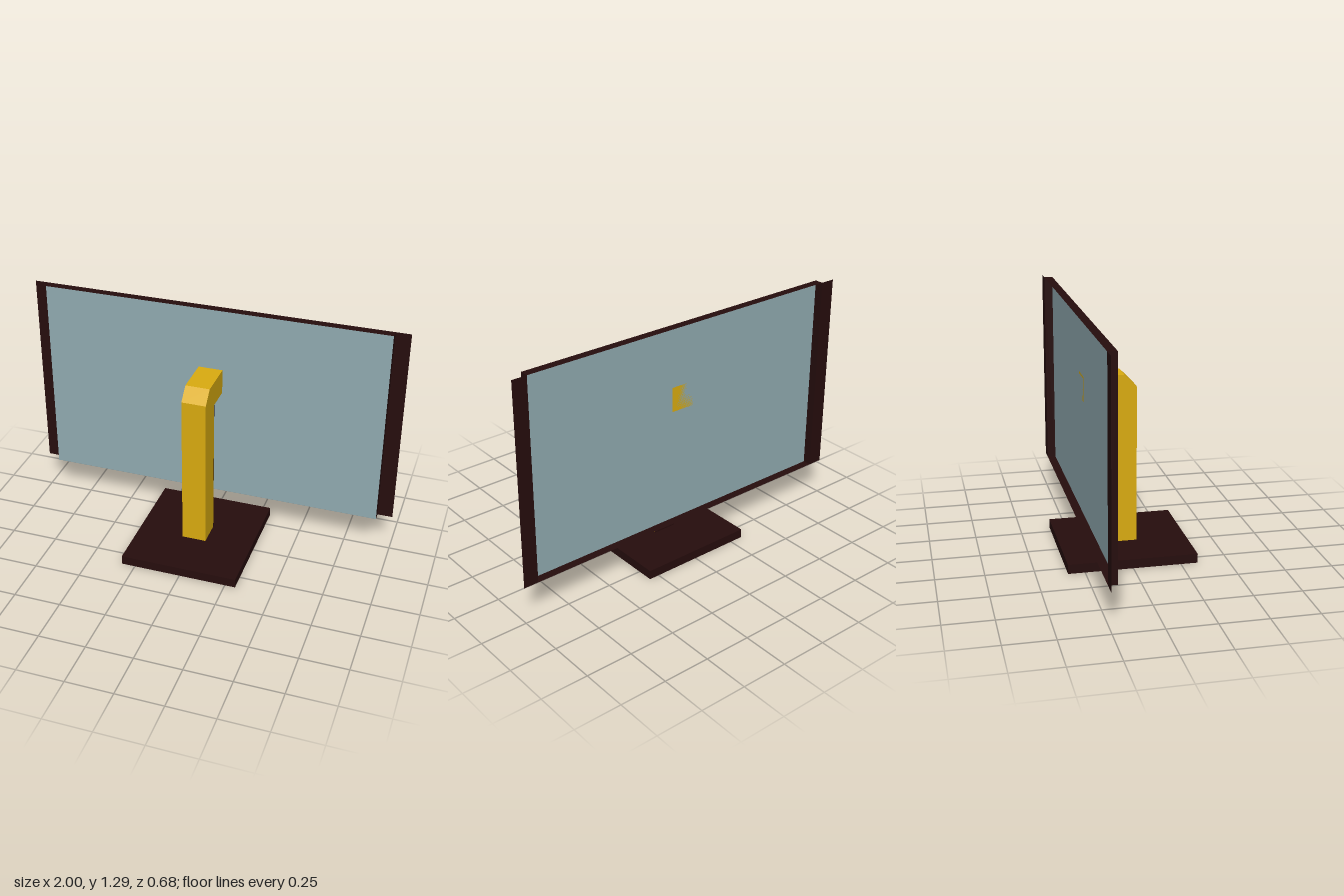
import * as THREE from 'three';

const mat = (name, color, side = THREE.FrontSide) => {
  const m = new THREE.MeshStandardMaterial({ color, side });
  m.name = name;
  return m;
};

export function createModel() {
  const model = new THREE.Group();
  model.name = 'monitor';
  const dark = mat('dark brown', 0x260d0d, THREE.DoubleSide);
  const glass = mat('grey blue glass', 0x91abb1, THREE.DoubleSide);
  const yellow = mat('mustard yellow', 0xdaac10);
  const grey = mat('light grey', 0xc4c4c4);

  const add = (parent, name, geometry, material, x = 0, y = 0, z = 0) => {
    const mesh = new THREE.Mesh(geometry, material);
    mesh.name = name;
    mesh.position.set(x, y, z);
    parent.add(mesh);
    return mesh;
  };
  // box given by its limits on each axis
  const box = (name, material, [x0, x1], [y0, y1], [z0, z1]) =>
    add(model, name, new THREE.BoxGeometry(x1 - x0, y1 - y0, z1 - z0), material,
      (x0 + x1) / 2, (y0 + y1) / 2, (z0 + z1) / 2);

  // base slab with thin strips underneath
  box('base', dark, [-0.322, 0.306], [0.001, 0.05], [-0.338, 0.338]);
  box('undersideStrip', glass, [0.1, 0.15], [0, 0.002], [-0.337, 0.337]);
  box('undersideStrip', grey, [-0.04, -0.01], [0, 0.002], [-0.337, 0.337]);
  box('undersidePanel', grey, [-0.32, -0.09], [0, 0.002], [-0.337, 0.337]);

  // bent stand: side profile in z and y, extruded across x
  const profile = new THREE.Shape([
    [-0.07, 0.05], [0.07, 0.05], [0.07, 0.89], [0.006, 0.955],
    [-0.206, 0.955], [-0.206, 0.822], [-0.07, 0.822],
  ].map(([z, y]) => new THREE.Vector2(z, y)));
  const stand = new THREE.ExtrudeGeometry(profile, { depth: 0.13, bevelEnabled: false });
  stand.rotateY(-Math.PI / 2);
  add(model, 'stand', stand, yellow, 0.056);
  box('standBackPlate', dark, [-0.074, 0.056], [0.05, 0.822], [-0.072, -0.069]);

  // screen: a front pane with four thin walls, open at the back
  const W = 1.84, H = 1.086, front = -0.206, back = -0.252;
  const depth = front - back, midZ = (front + back) / 2;
  const screen = new THREE.Group();
  screen.name = 'screen';
  screen.position.y = 0.204 + H / 2;
  model.add(screen);
  add(screen, 'pane', new THREE.PlaneGeometry(W, H), glass, 0, 0, front);
  for (const s of [-1, 1]) {
    add(screen, 'sideWall', new THREE.PlaneGeometry(depth, H).rotateY(s * Math.PI / 2), dark,
      s * W / 2, 0, midZ);
    add(screen, 'edgeWall', new THREE.PlaneGeometry(W, depth).rotateX(-s * Math.PI / 2), dark,
      0, s * H / 2, midZ);
    // flat side flange in the back plane
    add(screen, 'sideFlange', new THREE.PlaneGeometry(1 - W / 2, H), dark,
      s * (1 + W / 2) / 2, 0, back);
  }
  return model;
}
